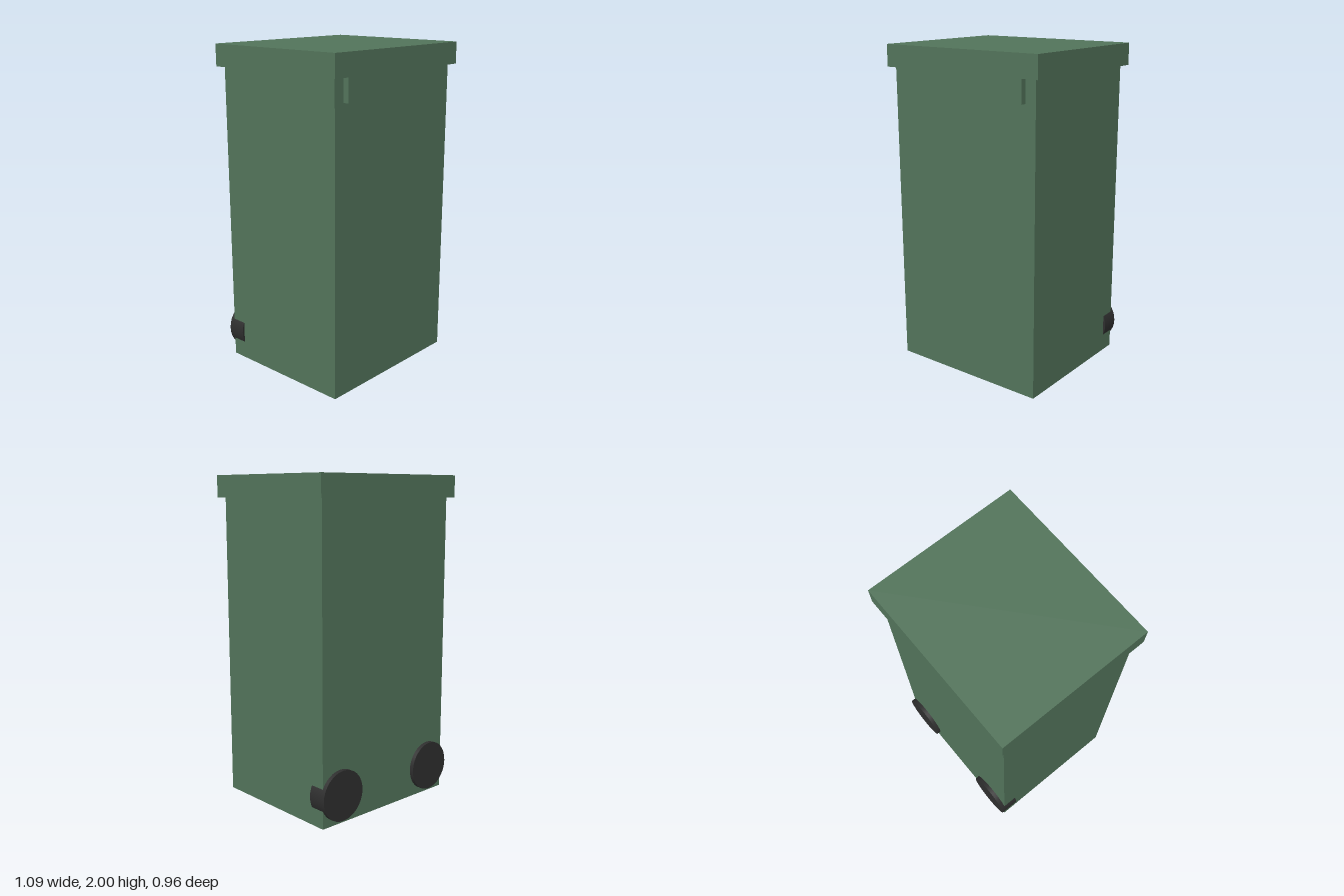
import * as THREE from 'three';

export function createModel() {
  const group = new THREE.Group();
  const green = new THREE.MeshStandardMaterial({ color: 0x52735a });
  green.name = 'bin green';
  const black = new THREE.MeshStandardMaterial({ color: 0x2e2e2e });
  black.name = 'wheel black';

  const add = (name, geometry, material, x, y, z) => {
    const mesh = new THREE.Mesh(geometry, material);
    mesh.name = name;
    mesh.position.set(x, y, z);
    group.add(mesh);
    return mesh;
  };

  // Tall bin body
  add('body', new THREE.BoxGeometry(1.024, 1.867, 0.886), green, 0, 0.9335, 0);

  // Overhanging lid and the front grip flush with its front face
  add('lid', new THREE.BoxGeometry(1.094, 0.133, 0.956), green, 0, 1.9335, 0);
  add('lidGrip', new THREE.BoxGeometry(0.886, 0.137, 0.035), green, 0, 1.7985, 0.4605);

  // Two wheels sunk into the back, bulging slightly past the sides
  for (const [name, side] of [['leftWheel', 1], ['rightWheel', -1]]) {
    const geometry = new THREE.CylinderGeometry(0.153, 0.153, 0.12, 32);
    geometry.rotateX(Math.PI / 2);
    add(name, geometry, black, side * 0.375, 0.175, -0.409);
  }

  return group;
}
